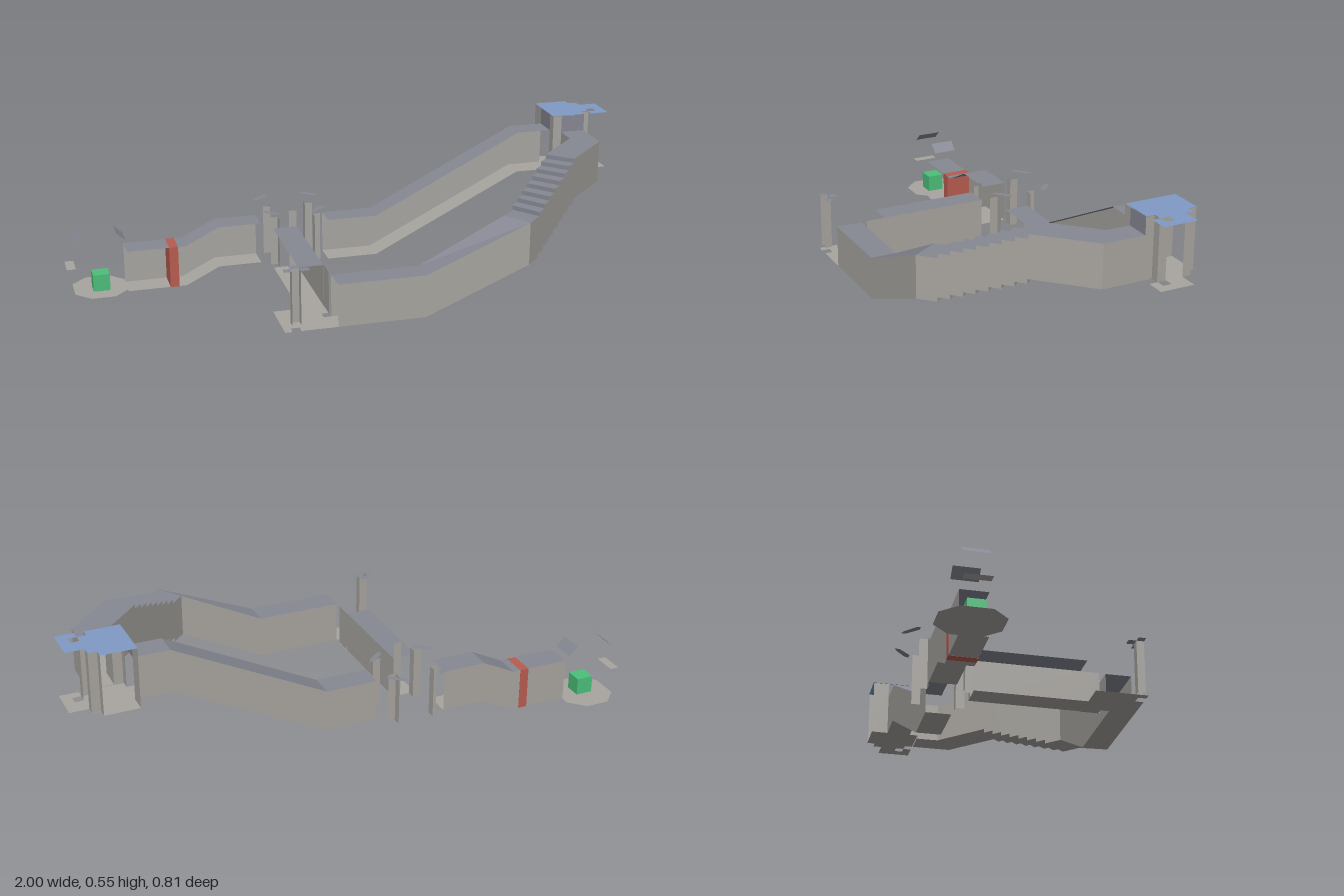
import * as THREE from 'three';

const paint = (name, color, side = THREE.DoubleSide) => {
  const m = new THREE.MeshStandardMaterial({ color, side });
  m.name = name;
  return m;
};

export function createModel() {
  const root = new THREE.Group();
  root.name = 'corridorMap';
  const stone = paint('stone', 0xa8a5a0);
  const slate = paint('slate', 0x868893);
  const blue = paint('blueRoof', 0x809ac4);
  const green = paint('green', 0x4cbf7a);
  const red = paint('red', 0xb85c50);

  // Flat shaded surface from a list of four-cornered faces
  function faces(name, list, mat, parent = root) {
    const pos = list.flatMap(([a, b, c, d]) => [a, b, c, a, c, d].flat());
    const g = new THREE.BufferGeometry();
    g.setAttribute('position', new THREE.Float32BufferAttribute(pos, 3));
    g.computeVertexNormals();
    const mesh = new THREE.Mesh(g, mat);
    mesh.name = name;
    parent.add(mesh);
    return mesh;
  }
  // Horizontal plate; y may differ at its low x and high x edges
  const plate = (x0, x1, z0, z1, ya, yb = ya) =>
    [[x0, ya, z0], [x0, ya, z1], [x1, yb, z1], [x1, yb, z0]];
  // Upright panel between two plan points
  const panel = (x0, z0, x1, z1, y0, y1) =>
    [[x0, y0, z0], [x1, y0, z1], [x1, y1, z1], [x0, y1, z0]];

  // Passage through sections [ax, az, bx, bz, floorY, ceilingY]
  function passage(name, sections, { a = true, b = true } = {}) {
    const group = new THREE.Group();
    group.name = name;
    root.add(group);
    const walls = [], floor = [], ceiling = [];
    for (let i = 1; i < sections.length; i++) {
      const [s, t] = [sections[i - 1], sections[i]];
      const A = (q, y) => [q[0], q[y], q[1]];
      const B = (q, y) => [q[2], q[y], q[3]];
      if (a) walls.push([A(s, 4), A(t, 4), A(t, 5), A(s, 5)]);
      if (b) walls.push([B(s, 4), B(t, 4), B(t, 5), B(s, 5)]);
      floor.push([A(s, 4), B(s, 4), B(t, 4), A(t, 4)]);
      ceiling.push([A(s, 5), B(s, 5), B(t, 5), A(t, 5)]);
    }
    faces('walls', walls, stone, group);
    faces('floor', floor, stone, group);
    faces('ceiling', ceiling, slate, group);
  }
  const alongX = (z0, z1, pts) => pts.map(([x, y]) => [x, z0, x, z1, y, y + 0.15]);

  // Corridors
  passage('entryCorridor', alongX(-0.323, -0.23,
    [[-0.79, 0.004], [-0.58, 0.004], [-0.46, 0.064], [-0.305, 0.064]]), { b: false });
  passage('crossCorridor', [-0.167, 0.223].map(z => [-0.273, z, -0.187, z, 0.064, 0.214]), { a: false });
  passage('frontCorridor', alongX(0.313, 0.404, [[-0.184, 0.064], [0.12, 0.064]]).concat([
    [0.42, 0.313, 0.48, 0.404, 0.214, 0.364]]));
  passage('backCorridor', alongX(-0.289, -0.2,
    [[-0.062, 0.064], [0.12, 0.064], [0.66, 0.335], [0.785, 0.335]]), { b: false });

  // Diagonal corridor with eight steps
  const stair = (u, y) => [0.42 + 0.396 * u, 0.313 - 0.396 * u, 0.48 + 0.425 * u, 0.404 - 0.424 * u, y, y + 0.15];
  const stairs = [stair(0, 0.214)];
  for (let i = 0; i < 8; i++) {
    const u = 0.12 + i * 0.07, y = 0.214 + i * 0.0151;
    stairs.push(stair(u, y), stair(u, y + 0.0151));
  }
  stairs.push(stair(1, 0.335), [0.817, -0.167, 0.905, -0.167, 0.335, 0.485]);
  passage('stairCorridor', stairs);

  // Red gate across the entry corridor
  const gate = new THREE.Mesh(new THREE.BoxGeometry(0.032, 0.151, 0.095), red);
  gate.name = 'gate';
  gate.position.set(-0.623, 0.079, -0.2765);
  root.add(gate);

  // Start room: eight-sided floor, green block and sloping roof pieces
  const oct = new THREE.Shape([[-0.042, -0.104], [0.042, -0.104], [0.094, -0.05], [0.094, 0.05],
    [0.042, 0.104], [-0.042, 0.104], [-0.094, 0.05], [-0.094, -0.05]].map(p => new THREE.Vector2(...p)));
  const startFloor = new THREE.Mesh(new THREE.ShapeGeometry(oct).rotateX(-Math.PI / 2), stone);
  startFloor.name = 'startFloor';
  startFloor.position.set(-0.882, 0.001, -0.306);
  root.add(startFloor);
  const block = new THREE.Mesh(new THREE.BoxGeometry(0.06, 0.062, 0.06), green);
  block.name = 'startBlock';
  block.position.set(-0.88, 0.033, -0.293);
  root.add(block);
  faces('startRoofPieces', [
    plate(-0.97, -0.937, -0.35, -0.263, 0.185, 0.215),
    plate(-0.82, -0.788, -0.35, -0.263, 0.215, 0.185)], slate);
  faces('startLedge', [plate(-1, -0.968, -0.35, -0.263, 0.094)], stone);

  // Junction: narrow upright panels and roof chips at four corners
  const chips = [], posts = [];
  for (const sx of [-1, 1]) for (const sz of [-1, 1]) {
    const x = k => -0.185 + sx * k, z = k => -0.293 + sz * k;
    chips.push([[x(0.06), 0.26, z(0.116)], [x(0.06), 0.26, z(0.1)],
      [x(0.1), 0.26, z(0.06)], [x(0.12), 0.26, z(0.06)]]);
    chips.push([[x(0.06), 0.26, z(0.116)], [x(0.075), 0.26, z(0.11)],
      [x(0.115), 0.26, z(0.075)], [x(0.12), 0.26, z(0.06)]]);
    const zo = sz < 0 ? -0.348 : -0.167, zi = sz < 0 ? -0.318 : -0.197;
    posts.push(panel(x(0.065), zo, x(0.065), zi, 0.064, 0.245));
    posts.push(panel(x(0.065), zi, x(0.092), zi, 0.064, 0.245));
  }
  posts.push(panel(-0.215, -0.167, -0.187, -0.167, 0.064, 0.275));
  faces('junctionRoofChips', chips, slate);
  faces('junctionPosts', posts, stone);

  // Corner room: floor with gaps, side wall and a niche
  faces('cornerFloor', [
    plate(-0.363, -0.21, 0.223, 0.375, 0.064), plate(-0.21, -0.184, 0.223, 0.283, 0.064),
    plate(-0.21, -0.184, 0.313, 0.375, 0.064), plate(-0.363, -0.338, 0.375, 0.404, 0.064),
    plate(-0.308, -0.184, 0.375, 0.404, 0.064)], stone);
  faces('cornerWall', [panel(-0.186, 0.223, -0.186, 0.289, 0.064, 0.214)], stone);
  faces('nicheWalls', [
    panel(-0.338, 0.377, -0.308, 0.377, 0.085, 0.275),
    panel(-0.338, 0.377, -0.338, 0.404, 0.085, 0.275),
    panel(-0.308, 0.377, -0.308, 0.404, 0.085, 0.275)], stone);
  faces('nicheRoof', [
    plate(-0.338, -0.308, 0.35, 0.377, 0.275), plate(-0.363, -0.338, 0.377, 0.404, 0.275),
    plate(-0.308, -0.277, 0.377, 0.404, 0.275)], slate);

  // End room: stepped blue roof over a matching floor, with posts and door lintels
  const cells = [[0.785, 0.905, -0.35, -0.32], [0.785, 0.935, -0.32, -0.29], [0.785, 1, -0.29, -0.23],
    [0.785, 0.935, -0.23, -0.2], [0.965, 1, -0.23, -0.2], [0.785, 0.905, -0.2, -0.17], [0.935, 1, -0.2, -0.17]];
  faces('endRoof', cells.map(c => plate(...c, 0.546)), blue);
  faces('endFloor', cells.map(c => plate(...c, 0.335)), stone);
  faces('endPosts', [
    panel(0.905, -0.348, 0.905, -0.318, 0.335, 0.545), panel(0.905, -0.318, 0.935, -0.318, 0.335, 0.545),
    panel(0.935, -0.318, 0.935, -0.289, 0.335, 0.545), panel(0.905, -0.167, 0.905, -0.197, 0.335, 0.545),
    panel(0.905, -0.197, 0.935, -0.197, 0.335, 0.545), panel(0.935, -0.197, 0.935, -0.227, 0.335, 0.545),
    panel(0.785, -0.348, 0.785, -0.289, 0.335, 0.545), panel(0.785, -0.2, 0.785, -0.167, 0.335, 0.545),
    panel(0.785, -0.167, 0.817, -0.167, 0.335, 0.545)], stone);
  faces('doorLintels', [
    panel(0.785, -0.289, 0.785, -0.2, 0.485, 0.545),
    panel(0.817, -0.167, 0.905, -0.167, 0.485, 0.545)], slate);

  return root;
}
